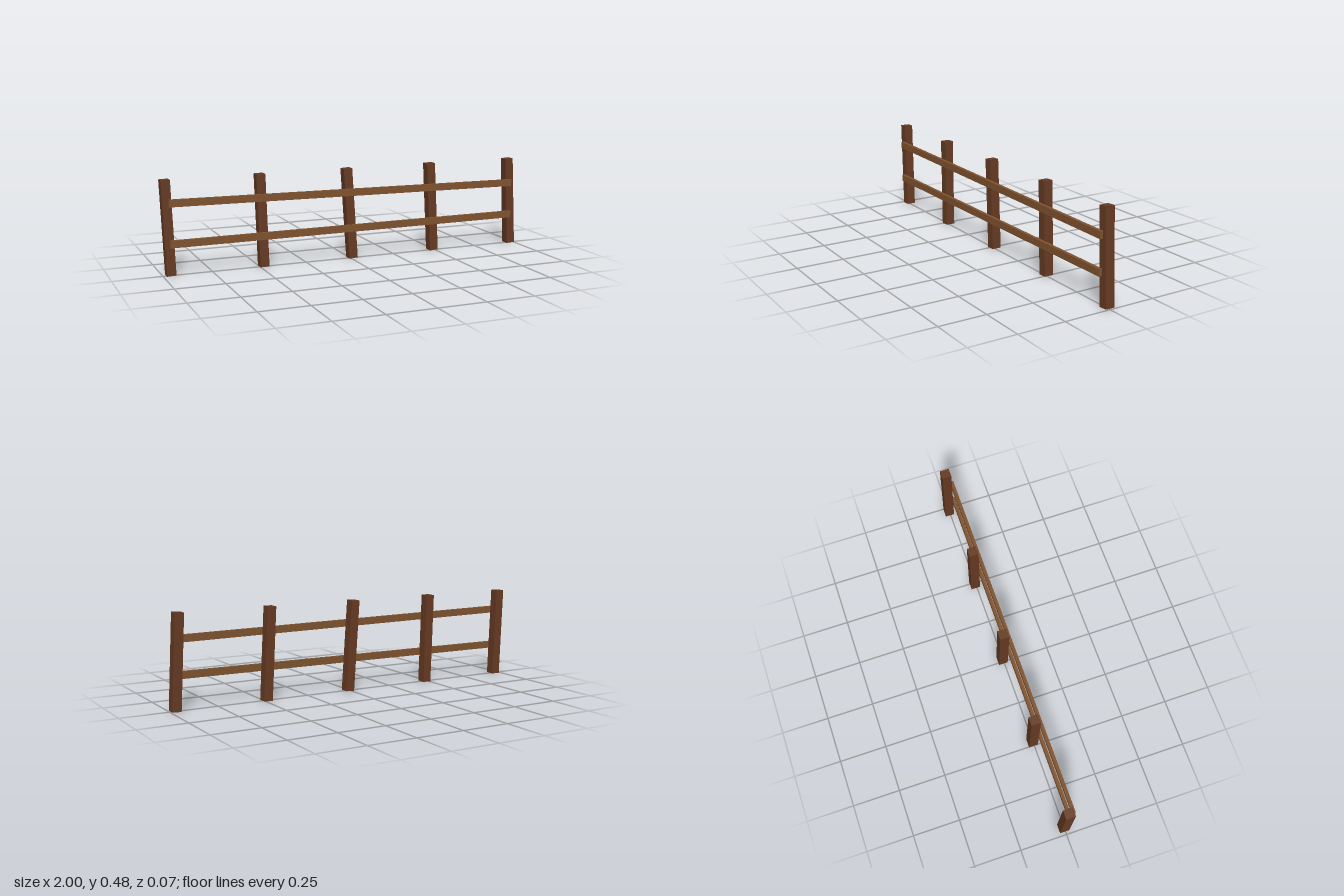
import * as THREE from 'three';

// Square beam running between the centres of its two ends
function beam(name, a, b, width, depth, material) {
  const start = new THREE.Vector3(...a), end = new THREE.Vector3(...b);
  const dir = end.clone().sub(start);
  const mesh = new THREE.Mesh(new THREE.BoxGeometry(width, dir.length(), depth), material);
  mesh.name = name;
  mesh.position.copy(start).add(end).multiplyScalar(0.5);
  mesh.quaternion.setFromUnitVectors(new THREE.Vector3(0, 1, 0), dir.normalize());
  return mesh;
}

export function createModel() {
  const group = new THREE.Group();
  group.name = 'fence';
  const postWood = new THREE.MeshStandardMaterial({ color: 0x663a23, flatShading: true });
  postWood.name = 'dark post wood';
  const railWood = new THREE.MeshStandardMaterial({ color: 0x80532f, flatShading: true });
  railWood.name = 'light rail wood';

  // Leaning posts: bottom x, top x, bottom z, top z
  const posts = [
    [-0.960, -0.976, -0.005, -0.007],
    [-0.479, -0.492, -0.005, -0.009],
    [0.012, -0.019, -0.006, -0.009],
    [0.489, 0.465, -0.007, -0.011],
    [0.973, 0.947, -0.004, -0.004],
  ];
  posts.forEach(([x0, x1, z0, z1], i) => {
    group.add(beam('post' + (i + 1), [x0, 0.002, z0], [x1, 0.481, z1], 0.047, 0.049, postWood));
  });

  // Slightly sloping rails nailed to the front: name, right-end y, left-end y
  const rails = [['upperRail', 0.368, 0.348], ['lowerRail', 0.164, 0.170]];
  for (const [name, y0, y1] of rails) {
    group.add(beam(name, [-0.965, y0, 0.027], [0.957, y1, 0.027], 0.037, 0.017, railWood));
  }
  return group;
}
